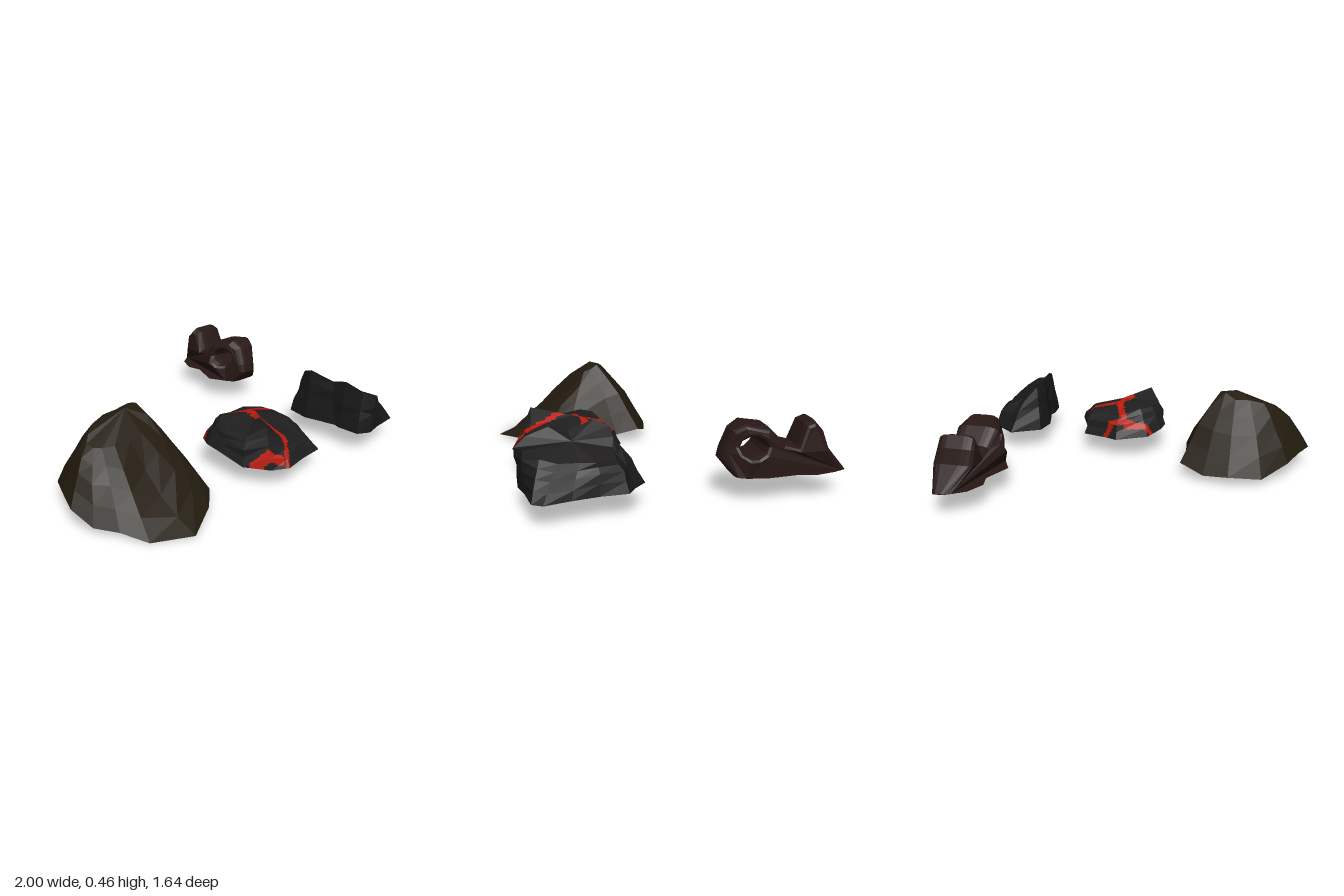
import * as THREE from 'three';

const mat = (color) => new THREE.MeshStandardMaterial({ color, flatShading: true, roughness: 0.9, side: THREE.DoubleSide });
const V = (p) => new THREE.Vector3(...p);

// Small repeatable unevenness, -1..1
const rough = (i, k) => {
  const s = Math.sin(i * 12.99 + k * 78.23) * 43758.55;
  return (s - Math.floor(s)) * 2 - 1;
};

// Open-bottomed boulder: walls from a ground rim up to a crown, closed by a fan at the peak.
// bulge(rimPoint) swells or hollows the wall above that point. Returns a list of triangles.
function boulder(rim, crown, peak, bulge, noise, steps = 4) {
  const n = rim.length;
  const at = (i, k) => {
    i %= n;
    const t = k / steps;
    const p = V(rim[i]).lerp(V(crown[i]), t);
    const w = Math.sin(Math.PI * t);
    const b = bulge(rim[i]);
    p.y += b * w;
    const out = V(rim[i]).sub(V(peak)).setY(0).normalize();
    return p.addScaledVector(out, w * (b * 0.3 + noise * rough(i, k)));
  };
  const tris = [];
  for (let i = 0; i < n; i++) {
    for (let k = 0; k < steps; k++) {
      const a = at(i, k), b = at(i + 1, k), c = at(i, k + 1), d = at(i + 1, k + 1);
      tris.push([a, c, b], [b, c, d]);
    }
    tris.push([at(i, steps), V(peak), at(i + 1, steps)]);
  }
  return tris;
}

// Split each triangle in four, so colour bands can follow a path over flat facets
function split(tris) {
  const mid = (a, b) => a.clone().lerp(b, 0.5);
  return tris.flatMap(([a, b, c]) => {
    const ab = mid(a, b), bc = mid(b, c), ca = mid(c, a);
    return [[a, ab, ca], [ab, b, bc], [ca, bc, c], [ab, bc, ca]];
  });
}

function mesh(name, tris, color) {
  const g = new THREE.BufferGeometry().setFromPoints(tris.flat());
  g.computeVertexNormals();
  const m = new THREE.Mesh(g, mat(color));
  m.name = name;
  return m;
}

// Distance on the ground plane from a point to a path of [x, z] points
function pathDistance(p, path) {
  let best = Infinity;
  for (let i = 0; i + 1 < path.length; i++) {
    const a = new THREE.Vector3(path[i][0], 0, path[i][1]);
    const b = new THREE.Vector3(path[i + 1][0], 0, path[i + 1][1]);
    const q = new THREE.Vector3(p.x, 0, p.z);
    const near = new THREE.Line3(a, b).closestPointToPoint(q, true, new THREE.Vector3());
    best = Math.min(best, near.distanceTo(q));
  }
  return best;
}

function largeMound() {
  const rim = [[-.58, .05, -.09], [-.44, .04, -.065], [-.3, .08, 0], [-.31, .05, .13], [-.27, .05, .43],
    [-.3, .04, .57], [-.41, .03, .69], [-.61, .01, .82], [-.8, 0, .72], [-.88, .03, .6],
    [-.96, .04, .5], [-1, .1, .38], [-.95, .11, .23], [-.89, .09, .09], [-.76, .035, -.04]];
  const crown = [[-.58, .42, .17], [-.52, .45, .2], [-.49, .45, .22], [-.48, .43, .25], [-.48, .41, .3],
    [-.5, .37, .33], [-.56, .35, .36], [-.64, .34, .37], [-.73, .34, .37], [-.79, .34, .35],
    [-.82, .34, .32], [-.83, .35, .28], [-.8, .38, .25], [-.74, .4, .2], [-.66, .42, .18]];
  const bulge = ([, , z]) => (z > .75 ? -.05 : z > .65 ? 0 : .02); // front tip is a low skirt
  return mesh('largeMound', boulder(rim, crown, [-.58, .455, .25], bulge, .008), 0x231b0f);
}

function lavaRock() {
  const rim = [[.12, .12, .18], [.2, .11, .24], [.34, .11, .28], [.36, .11, .42], [.41, .135, .52],
    [.39, .105, .63], [.35, .11, .72], [.2, .11, .74], [.07, .11, .77], [-.02, .11, .73],
    [-.1, .105, .6], [-.13, .15, .45], [-.12, .15, .35], [-.06, .13, .25]];
  const crown = [[.12, .24, .27], [.18, .27, .31], [.29, .25, .34], [.31, .25, .42], [.32, .24, .5],
    [.3, .22, .58], [.26, .2, .64], [.18, .22, .66], [.1, .24, .67], [0, .32, .66],
    [-.06, .26, .58], [-.08, .26, .46], [-.06, .28, .38], [0, .28, .32]];
  const veins = [
    [[-.09, .28], [.08, .24], [.2, .24]],
    [[.08, .24], [.14, .38], [.1, .5], [.12, .68], [.06, .77]],
    [[.14, .39], [.36, .39]],
    [[-.08, .64], [-.01, .71], [.05, .74]],
  ];
  let tris = boulder(rim, crown, [.14, .3, .45], () => .015, .012);
  for (let i = 0; i < 3; i++) tris = split(tris);
  const stone = [], lava = [];
  for (const t of tris) {
    const tri = new THREE.Triangle(...t);
    const c = tri.getMidpoint(new THREE.Vector3());
    const slope = Math.abs(tri.getNormal(new THREE.Vector3()).y);
    const width = .021 * Math.max(.5, slope); // narrower in plan on steep walls
    const hot = Math.min(...veins.map((v) => pathDistance(c, v))) < width;
    (hot ? lava : stone).push(t);
  }
  const g = new THREE.Group();
  g.name = 'lavaRock';
  g.add(mesh('lavaRockStone', stone, 0x1e1e1e), mesh('lavaVeins', lava, 0xb81a0c));
  return g;
}

// Wedge with its ridge along one side, sloping down towards the other
function ridgeRock() {
  const rim = [[.78, .18], [.85, .24], [.92, .28], [.93, .42], [.96, .55], [1, .68], [.97, .73],
    [.82, .75], [.72, .775], [.65, .74], [.64, .62], [.65, .58], [.6, .4], [.62, .27]]
    .map(([x, z]) => [x, .115, z]);
  const crown = [[.71, .33, .32], [.75, .29, .33], [.83, .25, .34], [.85, .25, .42], [.85, .255, .5],
    [.86, .26, .6], [.84, .28, .68], [.79, .31, .75], [.73, .31, .785], [.69, .35, .73],
    [.67, .385, .62], [.67, .36, .53], [.63, .4, .4], [.655, .37, .33]];
  const bulge = ([x, , z]) => (x > .9 && z < .5 ? .03 : .01);
  return mesh('ridgeRock', boulder(rim, crown, [.73, .325, .52], bulge, .01), 0x1a1818);
}

// Rock with a hole through it: side outline extruded across x, then shaped to a waisted plan
function archRock() {
  const outline = [[-.83, .09], [-.82, .13], [-.72, .25], [-.7, .33], [-.65, .385], [-.6, .37], [-.56, .265],
    [-.5, .28], [-.42, .36], [-.3, .385], [-.24, .35], [-.2, .25], [-.19, .2], [-.25, .09],
    [-.3, .09], [-.4, .09], [-.52, .09], [-.65, .09], [-.75, .09]];
  const shape = new THREE.Shape(outline.map(([z, y]) => new THREE.Vector2(-z, y)));
  const hole = new THREE.Path();
  hole.absellipse(.34, .27, .06, .045, 0, Math.PI * 2, true);
  shape.holes.push(hole);
  const bevel = .024;
  const geo = new THREE.ExtrudeGeometry(shape, {
    depth: 1, steps: 4, curveSegments: 5, bevelEnabled: true,
    bevelThickness: .5, bevelSize: bevel, bevelOffset: -bevel, bevelSegments: 3,
  });
  geo.translate(0, 0, -.5);
  geo.rotateY(Math.PI / 2); // local x becomes -z, depth becomes x in -1..1

  // Plan sections: z, centre x, half width
  const plan = [[-.82, .78, .03], [-.75, .76, .095], [-.65, .735, .13], [-.52, .75, .1],
    [-.4, .72, .15], [-.3, .745, .115], [-.19, .73, .05]];
  const pos = geo.attributes.position;
  for (let i = 0; i < pos.count; i++) {
    const x = pos.getX(i), y = pos.getY(i), z = Math.max(pos.getZ(i), -.82);
    let k = 0;
    while (k < plan.length - 2 && z > plan[k + 1][0]) k++;
    const [z0, c0, h0] = plan[k], [z1, c1, h1] = plan[k + 1];
    const t = THREE.MathUtils.clamp((z - z0) / (z1 - z0), 0, 1);
    const half = (h0 + (h1 - h0) * t) * (1 - .3 * Math.max(0, y - .2) / .19);
    const px = c0 + (c1 - c0) * t + x * half + .008 * Math.sin(31 * z + 23 * y);
    pos.setXYZ(i, px, Math.max(y, .125), z); // flat underside
  }
  geo.computeVertexNormals();
  const m = new THREE.Mesh(geo, mat(0x281816));
  m.name = 'archRock';
  return m;
}

export function createModel() {
  const group = new THREE.Group();
  group.name = 'rockSet';
  group.add(largeMound(), lavaRock(), ridgeRock(), archRock());
  return group;
}
